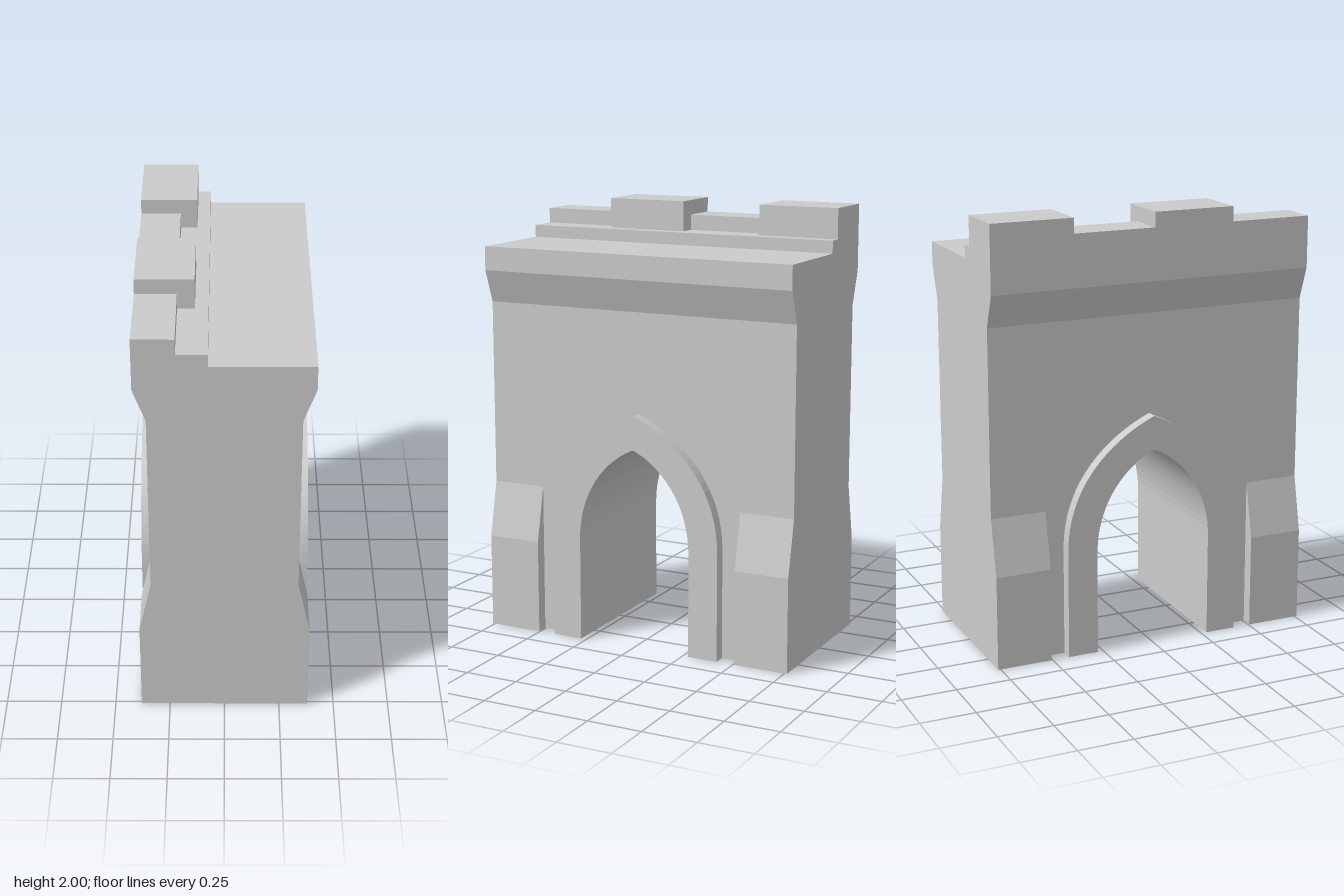
import * as THREE from 'three';

const HALF_LENGTH = 0.762, HALF_DEPTH = 0.38, WALL = 0.325, PIER = 0.505, CROWN_Y = 1.545;

const polygon = (points) => new THREE.Shape(points.map(([x, y]) => new THREE.Vector2(x, y)));

// Pointed arch outline from the left foot over the apex to the right foot.
function archPoints(half, spring, apex, lift, shoulderX, shoulderY) {
  const curve = new THREE.CubicBezierCurve(
    new THREE.Vector2(half, spring), new THREE.Vector2(half, lift),
    new THREE.Vector2(shoulderX, shoulderY), new THREE.Vector2(0, apex));
  const rise = curve.getPoints(18).map((p) => [p.x, p.y]);
  const side = [[half, 0], ...rise];
  const mirrored = side.slice(0, -1).map(([x, y]) => [-x, y]);
  return [...mirrored, ...side.reverse()];
}

export function createModel() {
  const group = new THREE.Group();
  const material = new THREE.MeshStandardMaterial({ color: 0xcccccc, flatShading: true });

  function add(name, geometry) {
    const mesh = new THREE.Mesh(geometry, material);
    mesh.name = name;
    group.add(mesh);
  }
  // Cross-section in x and y, run along z from z0 to z1.
  function alongZ(name, points, z0, z1) {
    const geometry = new THREE.ExtrudeGeometry(polygon(points), { depth: z1 - z0, bevelEnabled: false });
    add(name, geometry.translate(0, 0, z0));
  }
  // Elevation in z and y, run through the wall thickness.
  function alongX(name, points, half) {
    const geometry = new THREE.ExtrudeGeometry(polygon(points), { depth: 2 * half, bevelEnabled: false });
    add(name, geometry.translate(0, 0, -half).rotateY(Math.PI / 2));
  }

  const outer = archPoints(0.42, 0.5, 1.085, 0.82, 0.2, 1.0);
  const inner = archPoints(0.278, 0.48, 0.928, 0.72, 0.13, 0.875);

  // Wall between the piers, with the arch cut out of its foot
  alongX('archWall', [...outer, [PIER, 0], [PIER, CROWN_Y], [-PIER, CROWN_Y], [-PIER, 0]], WALL);

  // Raised arch ring lining the passage
  alongX('archSurround', [...outer, ...inner.slice().reverse()], HALF_DEPTH);

  // End piers with battered feet
  const pierSide = [[HALF_DEPTH, 0], [HALF_DEPTH, 0.435], [WALL, 0.69], [WALL, CROWN_Y]];
  const pier = [...pierSide, ...pierSide.map(([x, y]) => [-x, y]).reverse()];
  alongZ('frontPier', pier, PIER, HALF_LENGTH);
  alongZ('backPier', pier, -HALF_LENGTH, -PIER);

  // Flared crown with walkway, step and parapet
  alongZ('crown', [
    [-WALL, CROWN_Y], [WALL, CROWN_Y], [HALF_DEPTH, 1.695], [HALF_DEPTH, 1.805],
    [-0.067, 1.805], [-0.067, 1.862], [-0.2, 1.862], [-0.2, 1.932],
    [-HALF_DEPTH, 1.932], [-HALF_DEPTH, 1.695],
  ], -HALF_LENGTH, HALF_LENGTH);

  // Merlons hooked over the parapet
  const merlon = [
    [-HALF_DEPTH, 1.932], [-0.2, 1.932], [-0.2, 1.862],
    [-0.125, 1.862], [-0.125, 2], [-HALF_DEPTH, 2],
  ];
  for (const z of [-HALF_LENGTH, 0]) alongZ('merlon', merlon, z, z + HALF_LENGTH / 2);

  return group;
}
